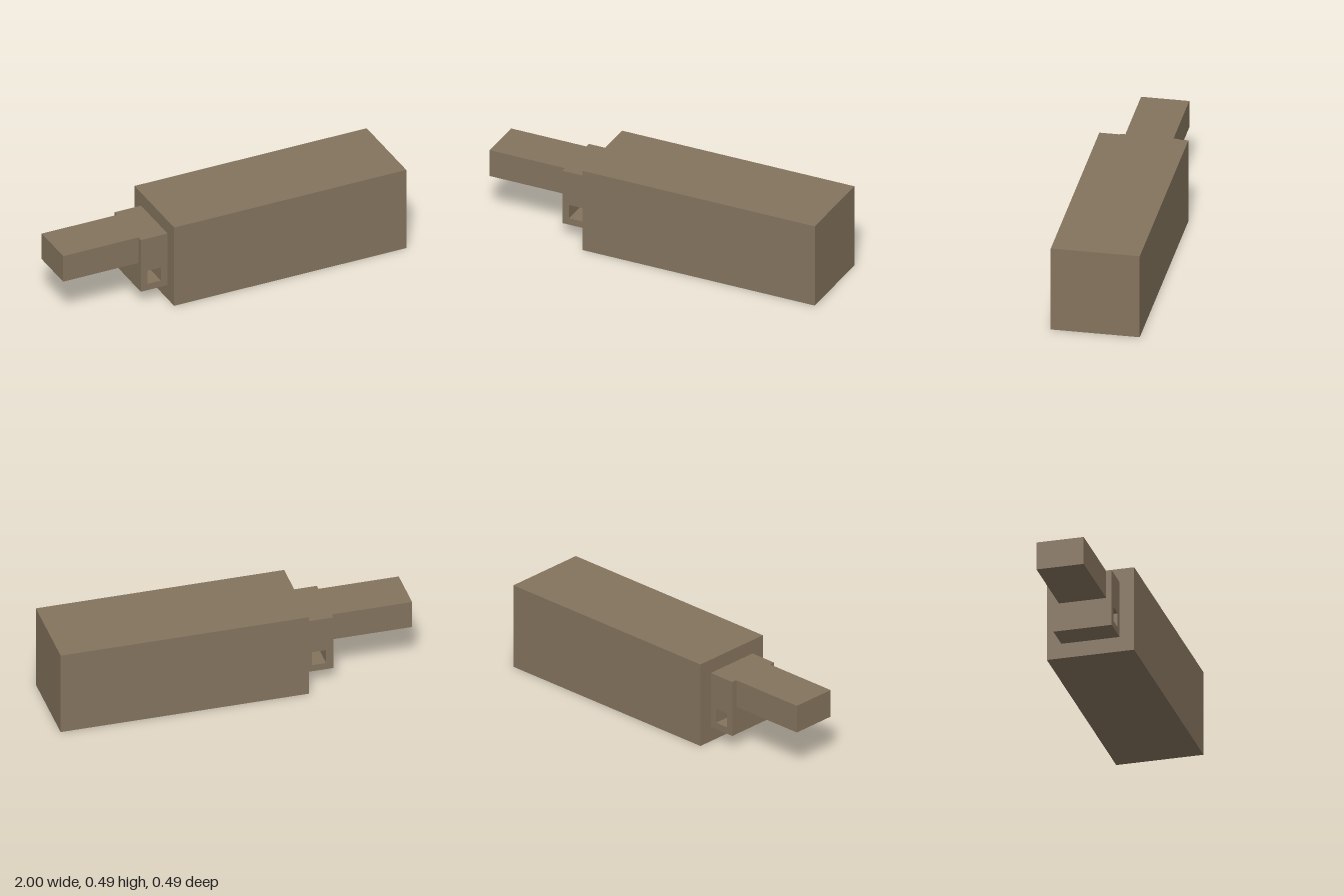
import * as THREE from 'three';

export function createModel() {
  const model = new THREE.Group();
  const brown = new THREE.MeshStandardMaterial({ color: 0x84735d });
  brown.name = 'brown';

  // Adds a named box spanning x0..x1 and y0..y1, centred on z
  function addBox(name, x0, x1, y0, y1, depth) {
    const mesh = new THREE.Mesh(new THREE.BoxGeometry(x1 - x0, y1 - y0, depth), brown);
    mesh.position.set((x0 + x1) / 2, (y0 + y1) / 2, 0);
    mesh.name = name;
    model.add(mesh);
  }

  const rectangle = (Type, x0, x1, y0, y1) => new Type([
    new THREE.Vector2(x0, y0), new THREE.Vector2(x1, y0),
    new THREE.Vector2(x1, y1), new THREE.Vector2(x0, y1),
  ]);

  // Main block and the narrow handle
  addBox('body', -0.39, 1, 0, 0.49, 0.488);
  addBox('handle', -1, -0.55, 0.25, 0.41, 0.264);

  // Collar with a square hole running through it from front to back
  const collarShape = rectangle(THREE.Shape, -0.55, -0.39, 0.086, 0.41);
  collarShape.holes.push(rectangle(THREE.Path, -0.51, -0.43, 0.125, 0.208));
  const collarGeometry = new THREE.ExtrudeGeometry(collarShape, { depth: 0.326, bevelEnabled: false });
  collarGeometry.translate(0, 0, -0.163);
  const collar = new THREE.Mesh(collarGeometry, brown);
  collar.name = 'collar';
  model.add(collar);

  return model;
}
